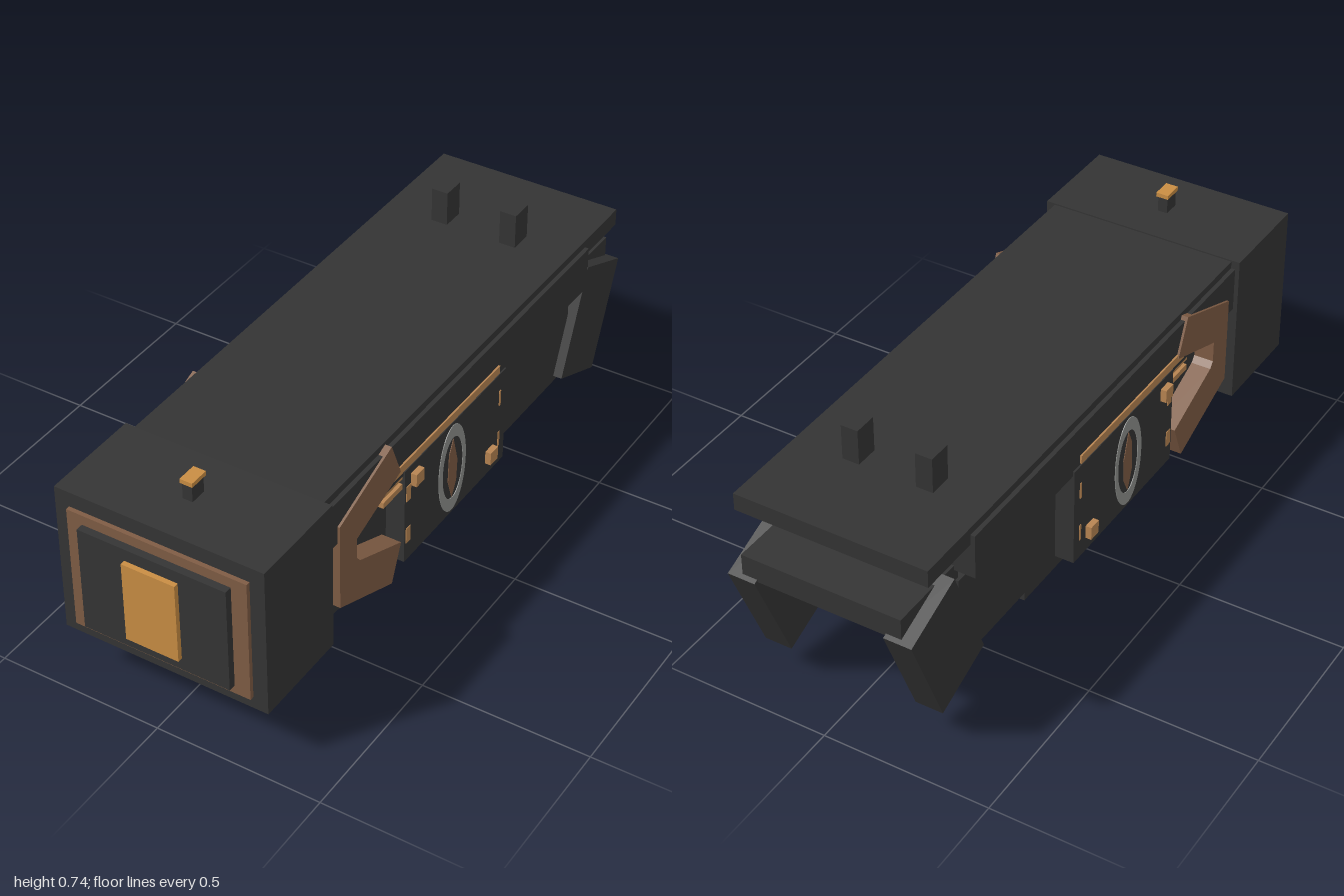
import * as THREE from 'three';

export function createModel() {
  const model = new THREE.Group();
  const mat = (name, color) => new THREE.MeshStandardMaterial({ name, color });
  const dark = mat('charcoal', 0x343434);
  const brown = mat('bronze', 0x7f5c44);
  const copper = mat('copper', 0xb88552);
  const gold = mat('amber', 0xc98d43);
  const grey = mat('lightGrey', 0x8e908d);

  const add = (name, geometry, material) => {
    const mesh = new THREE.Mesh(geometry, material);
    mesh.name = name;
    model.add(mesh);
    return mesh;
  };
  // Box given by its limits on each axis
  const box = (name, material, [x0, x1], [y0, y1], [z0, z1]) => {
    const mesh = add(name, new THREE.BoxGeometry(x1 - x0, y1 - y0, z1 - z0), material);
    mesh.position.set((x0 + x1) / 2, (y0 + y1) / 2, (z0 + z1) / 2);
    return mesh;
  };
  // Box symmetric about x = 0
  const wide = (name, material, half, y, z) => box(name, material, [-half, half], y, z);
  // Box on one side (s = 1 left, -1 right)
  const onSide = (s, name, material, [a, b], y, z) =>
    box(name, material, s > 0 ? [a, b] : [-b, -a], y, z);
  // Outline in (z, y) extruded along x between two distances on one side
  const sidePlate = (s, name, material, shape, a, b) => {
    const g = new THREE.ExtrudeGeometry(shape, { depth: b - a, bevelEnabled: false, curveSegments: 24 });
    g.rotateY(-Math.PI / 2);
    g.translate(s > 0 ? b : -a, 0, 0);
    return add(name, g, material);
  };
  const outline = (pts) => new THREE.Shape(pts.map(([z, y]) => new THREE.Vector2(z, y)));

  // Head block and layered front lens
  wide('headBlock', dark, 0.316, [0.17, 0.636], [0.645, 0.95]);
  wide('lensFrame', brown, 0.272, [0.208, 0.59], [0.94, 0.963]);
  wide('lensPanel', dark, 0.225, [0.235, 0.56], [0.95, 0.985]);
  wide('lens', gold, 0.081, [0.273, 0.523], [0.97, 1.0]);

  // Long body: top slab, upper rail and lower hull with an open slot between
  wide('topSlab', dark, 0.29, [0.58, 0.632], [-0.93, 0.65]);
  wide('upperRail', dark, 0.303, [0.475, 0.61], [-0.738, 0.65]);
  wide('lowerHull', dark, 0.25, [0.165, 0.44], [-0.735, 0.65]);
  wide('rearConnector', dark, 0.22, [0.43, 0.48], [-0.74, -0.6]);
  wide('rearBlock', dark, 0.24, [0.42, 0.49], [-0.98, -0.72]);

  // Parts under the hull
  wide('underBox', dark, 0.167, [0, 0.17], [-0.28, 0.025]);
  const wedge = add('tiltedUnderBox', new THREE.BoxGeometry(0.386, 0.2, 0.303), dark);
  wedge.position.set(0, 0.17, 0.412);
  wedge.rotation.x = -0.39;

  // Sight posts
  wide('frontSightPost', dark, 0.015, [0.63, 0.688], [0.768, 0.818]);
  wide('frontSightCap', gold, 0.019, [0.686, 0.699], [0.762, 0.822]);

  const bracket = outline([
    [0.602, 0.26], [0.345, 0.153], [0.3, 0.265], [0.505, 0.352], [0.52, 0.37], [0.52, 0.435],
    [0.305, 0.51], [0.352, 0.622], [0.602, 0.53],
  ]);
  const ring = new THREE.Shape().absellipse(0.032, 0.335, 0.072, 0.146, 0, Math.PI * 2);
  ring.holes.push(new THREE.Path().absellipse(0.03, 0.335, 0.054, 0.104, 0, Math.PI * 2));
  const diamond = outline([
    [0.032, 0.235], [0.01, 0.28], [0.006, 0.35], [0.03, 0.435], [0.05, 0.39], [0.054, 0.3],
  ]);

  for (const s of [1, -1]) {
    onSide(s, 'rearSightPost', dark, [0.086, 0.137], [0.62, 0.738], [-0.67, -0.6]);

    // Slanted rear fins
    const fin = add('rearFin', new THREE.BoxGeometry(0.083, 0.345, 0.215), dark);
    fin.position.set(s * 0.236, 0.303, -0.828);
    fin.rotation.x = -0.39;

    // Angular bracket behind the head
    sidePlate(s, 'sideBracket', brown, bracket, 0.25, 0.31);

    // Side panel, copper trim and clips
    onSide(s, 'sidePanel', dark, [0.24, 0.308], [0.18, 0.49], [-0.258, 0.28]);
    onSide(s, 'trimStrip', copper, [0.29, 0.308], [0.494, 0.52], [-0.222, 0.375]);
    for (const y of [0.428, 0.462])
      onSide(s, 'trimBar', copper, [0.24, 0.3], [y, y + 0.018], [0.27, 0.375]);
    onSide(s, 'frontClip', copper, [0.3, 0.326], [0.425, 0.465], [0.21, 0.25]);
    onSide(s, 'rearClip', copper, [0.3, 0.326], [0.224, 0.265], [-0.195, -0.155]);
    for (const [z, w] of [[0.262, 0.022], [-0.226, 0.008]])
      for (const y of [0.24, 0.383])
        onSide(s, 'panelMark', copper, [0.305, 0.31], [y, y + 0.05], [z - w / 2, z + w / 2]);

    // Inlaid oval with a faceted centre
    sidePlate(s, 'ovalRing', grey, ring, 0.305, 0.31);
    sidePlate(s, 'ovalCentre', brown, diamond, 0.305, 0.31);
  }
  return model;
}
